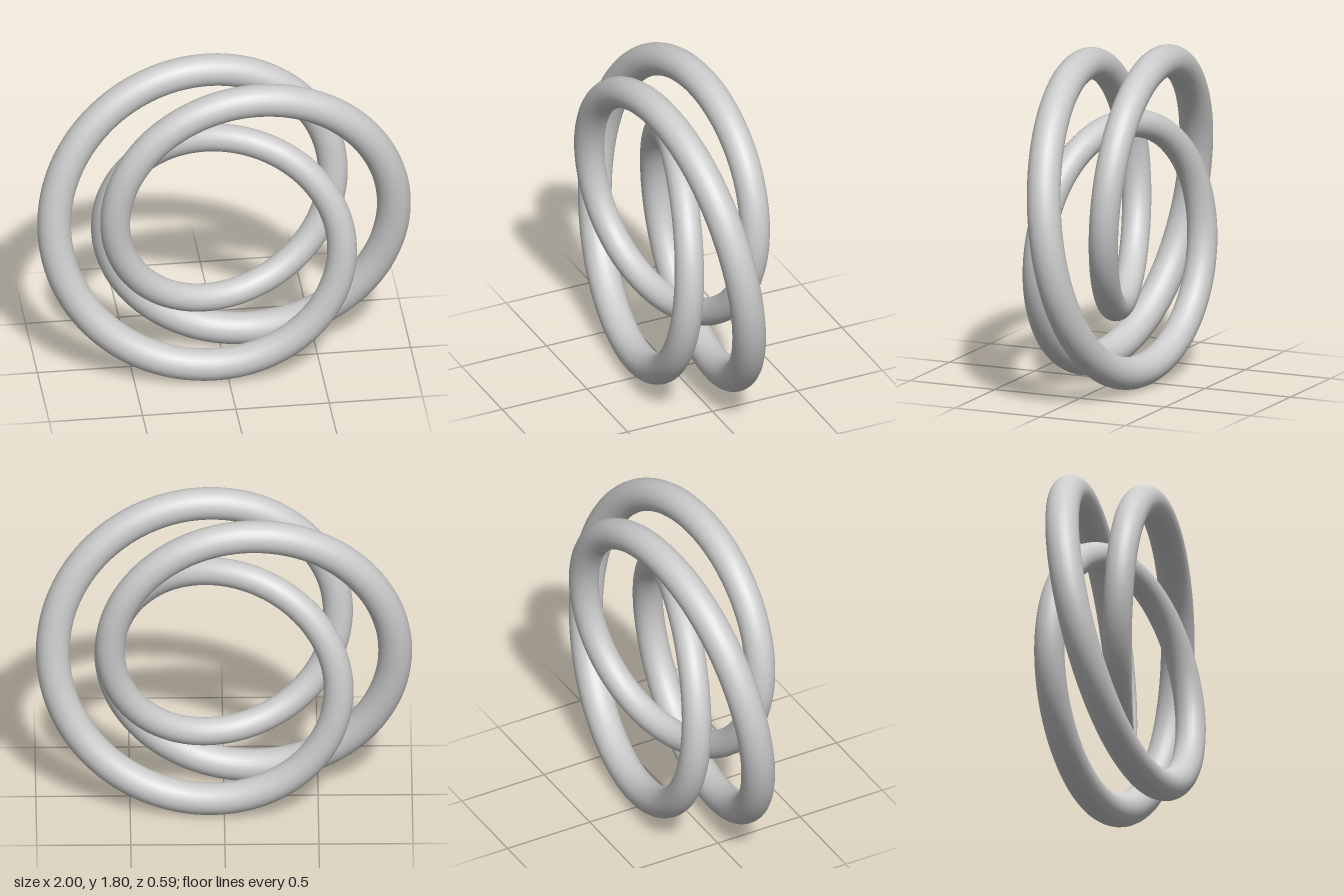
import * as THREE from 'three';

const WINDS = 3, WAVES = 2;          // turns around the axis, in-and-out waves
const RADIUS = 0.70, SWING = 0.21;   // mean ring radius, swing about it
const SEGMENTS = 360, SIDES = 24;

// Closed knot line winding three times around the z axis
class KnotCurve extends THREE.Curve {
  getPoint(t, target = new THREE.Vector3()) {
    const u = t * WINDS * Math.PI * 2;
    const v = t * WAVES * Math.PI * 2;
    const r = RADIUS + SWING * Math.cos(v);
    return target.set(r * Math.cos(u), r * Math.sin(u), SWING * Math.sin(v));
  }
}

// The tube is thicker on the outer bends than on the inner ones
const thickness = t => 0.0825 + 0.0075 * Math.cos(t * WAVES * Math.PI * 2);

export function createModel() {
  const group = new THREE.Group();
  group.name = 'knot';

  const curve = new KnotCurve();
  curve.arcLengthDivisions = 800;
  const base = 0.08;
  const geometry = new THREE.TubeGeometry(curve, SEGMENTS, base, SIDES, true);

  // Push each ring of the tube out to its own thickness
  const pos = geometry.attributes.position, nor = geometry.attributes.normal;
  const p = new THREE.Vector3(), n = new THREE.Vector3();
  for (let i = 0; i <= SEGMENTS; i++) {
    const t = curve.getUtoTmapping(i / SEGMENTS);
    const push = thickness(t) - base;
    for (let j = 0; j <= SIDES; j++) {
      const k = i * (SIDES + 1) + j;
      p.fromBufferAttribute(pos, k).addScaledVector(n.fromBufferAttribute(nor, k), push);
      pos.setXYZ(k, p.x, p.y, p.z);
    }
  }

  const tube = new THREE.Mesh(geometry, new THREE.MeshStandardMaterial({ color: 0xcccccc }));
  tube.name = 'knotTube';
  tube.position.y = 0.905;
  group.add(tube);
  return group;
}
